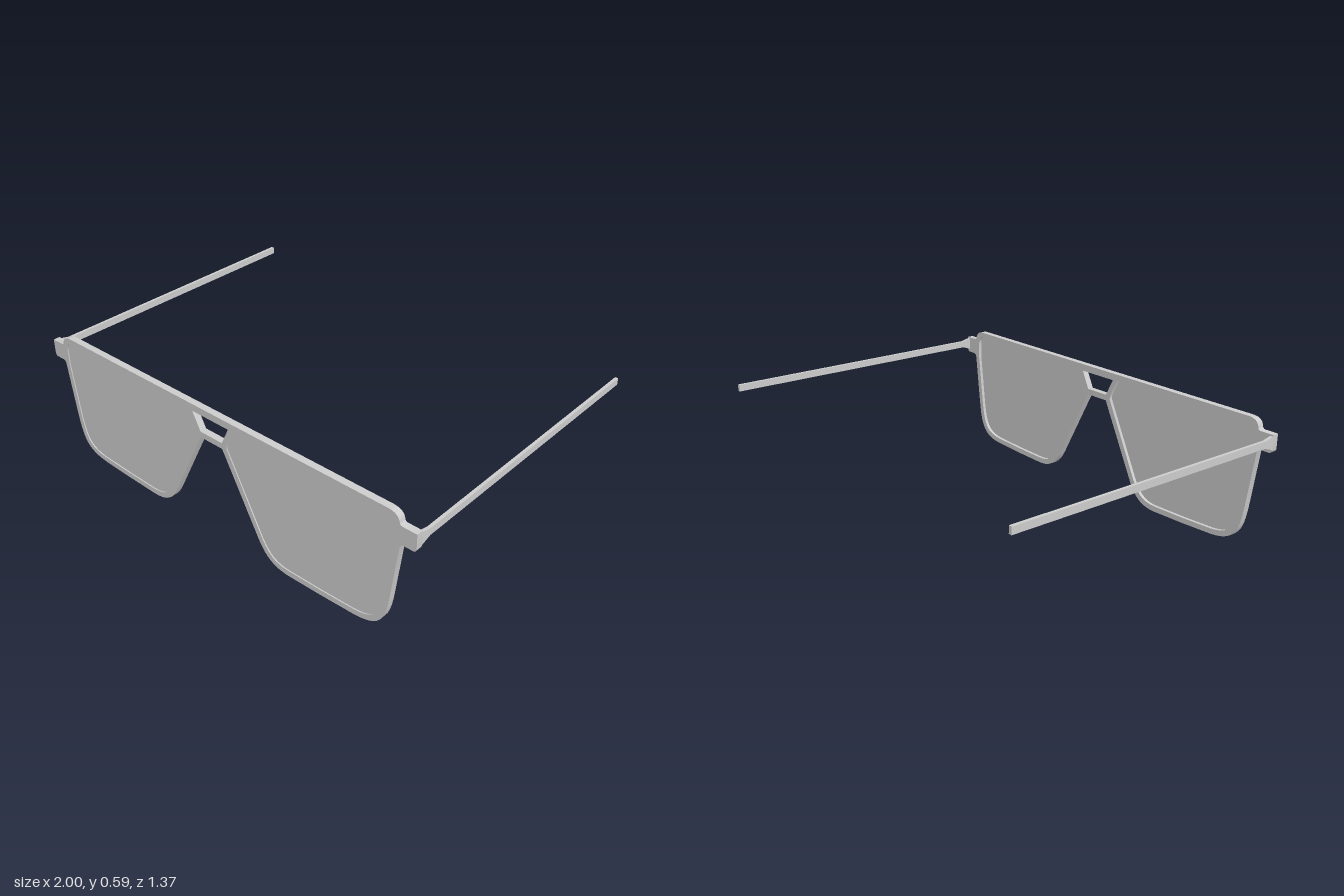
import * as THREE from 'three';
import { toCreasedNormals } from 'three/addons/utils/BufferGeometryUtils.js';

const FRONT = 0.685, BACK = 0.655;

function extrude(shape, depth) {
  const geo = new THREE.ExtrudeGeometry(shape, { depth, bevelEnabled: false });
  return toCreasedNormals(geo, 0.6);
}

const mirrored = (points) => points.map((p) => new THREE.Vector2(-p.x, p.y)).reverse();

// Left half of the front's outline, from top centre to bridge centre
function halfOutline() {
  const p = new THREE.Path();
  p.moveTo(0, 0.587);
  p.lineTo(0.87, 0.587);
  p.bezierCurveTo(0.905, 0.587, 0.922, 0.575, 0.926, 0.55);
  p.quadraticCurveTo(0.928, 0.54, 0.94, 0.54);
  p.lineTo(1, 0.54);
  p.lineTo(1, 0.475);
  p.quadraticCurveTo(0.998, 0.461, 0.985, 0.461);
  p.lineTo(0.945, 0.461);
  p.quadraticCurveTo(0.932, 0.459, 0.929, 0.445);
  p.lineTo(0.897, 0.2);
  p.bezierCurveTo(0.88, 0.075, 0.86, 0.02, 0.73, 0.011);
  p.lineTo(0.57, 0.004);
  p.lineTo(0.4, 0);
  p.bezierCurveTo(0.315, 0, 0.275, 0.035, 0.24, 0.1);
  p.lineTo(0.06, 0.448);
  p.lineTo(0, 0.448);
  return p.getPoints(10);
}

// Left lens opening, one rim width inside the outline
function lensOutline() {
  const p = new THREE.Path();
  p.moveTo(0.13, 0.562);
  p.lineTo(0.868, 0.562);
  p.bezierCurveTo(0.892, 0.562, 0.904, 0.545, 0.904, 0.515);
  p.lineTo(0.904, 0.45);
  p.lineTo(0.872, 0.2);
  p.bezierCurveTo(0.855, 0.09, 0.84, 0.045, 0.73, 0.036);
  p.lineTo(0.57, 0.029);
  p.lineTo(0.4, 0.026);
  p.bezierCurveTo(0.325, 0.026, 0.295, 0.055, 0.262, 0.112);
  p.lineTo(0.086, 0.457);
  p.lineTo(0.086, 0.475);
  return p.getPoints(10);
}

export function createModel() {
  const model = new THREE.Group();
  model.name = 'sunglasses';
  const material = new THREE.MeshStandardMaterial({ color: 0xcccccc });
  const add = (name, geometry) => {
    const mesh = new THREE.Mesh(geometry, material);
    mesh.name = name;
    model.add(mesh);
  };

  // Front frame, wound counter-clockwise so the walls of its openings face inward
  const half = halfOutline();
  const frame = new THREE.Shape([...half, ...mirrored(half).slice(1, -1)].reverse());
  const lens = lensOutline();
  const lensSides = { left: lens, right: mirrored(lens) };
  // Slot between the two bars of the bridge
  const slot = [[-0.1, 0.555], [0.1, 0.555], [0.06, 0.475], [-0.06, 0.475]];
  frame.holes.push(
    new THREE.Path(lensSides.left),
    new THREE.Path(lensSides.right),
    new THREE.Path(slot.map(([x, y]) => new THREE.Vector2(x, y))),
  );
  add('frontFrame', extrude(frame, FRONT - BACK).translate(0, 0, BACK));

  // Thin lenses, set just behind the front of the rims
  for (const [side, points] of Object.entries(lensSides)) {
    add(`${side}Lens`, extrude(new THREE.Shape(points), 0.01).translate(0, 0, 0.67));
  }

  // Temple arms, flared at the hinge; profile drawn as (-z, y)
  const profile = [[-BACK, 0.477], [-0.61, 0.492], [0.685, 0.492], [0.685, 0.523], [-0.61, 0.523], [-BACK, 0.533]];
  const arm = new THREE.Shape(profile.map(([x, y]) => new THREE.Vector2(x, y)));
  for (const [side, x] of [['left', 0.986], ['right', -1]]) {
    add(`${side}Temple`, extrude(arm, 0.014).rotateY(Math.PI / 2).translate(x, 0, 0));
  }
  return model;
}
